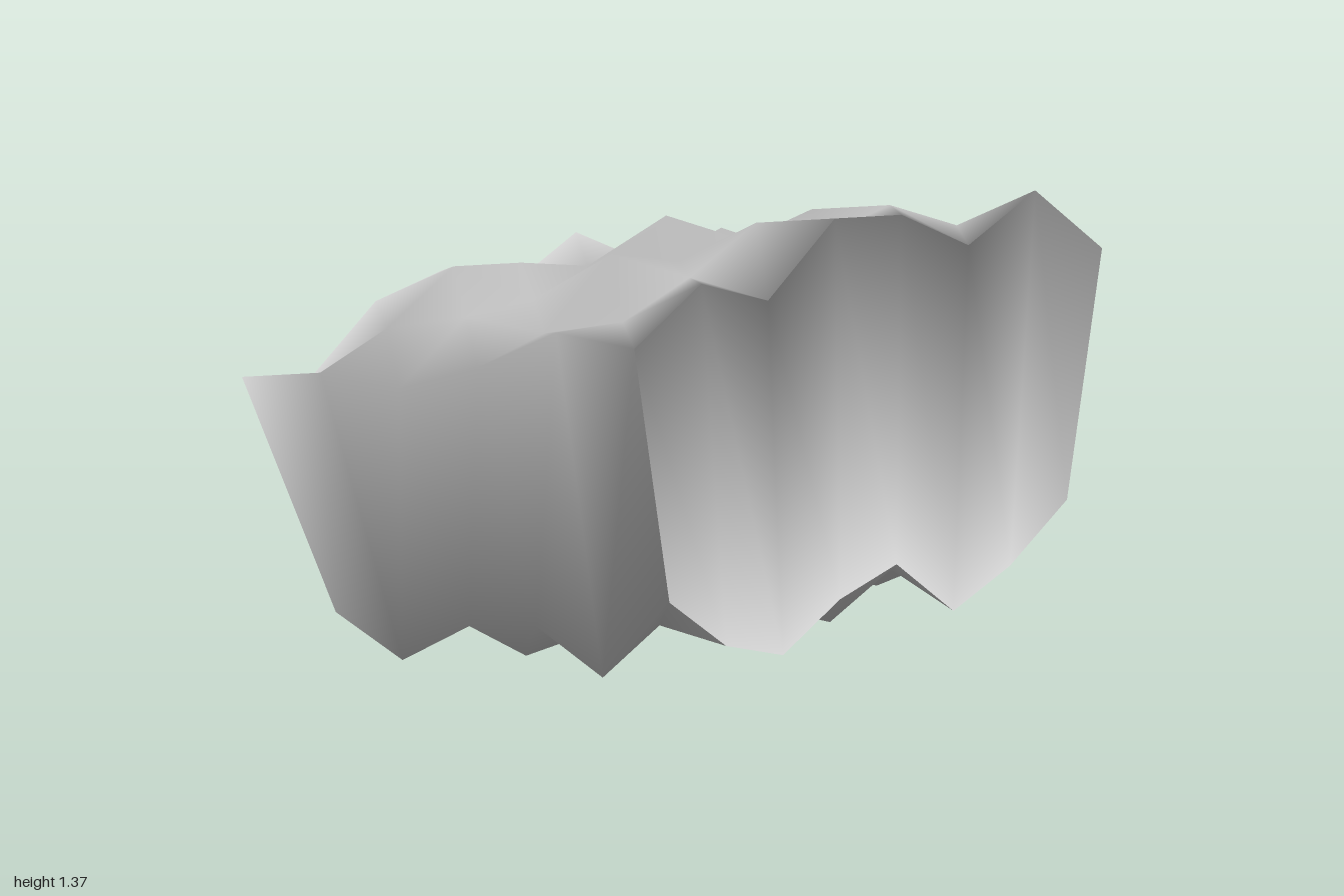
import * as THREE from 'three';

// Heights of the slab: rows run from front to back, columns from x- to x+
const TOP = [
  [1.14, 1.28, 1.18, 1.37, 1.33, 1.19, 1.30, 1.08],
  [1.14, 1.12, 1.20, 1.31, 1.22, 1.26, 1.15, 1.00],
  [0.99, 1.04, 1.22, 1.15, 1.16, 1.20, 1.03, 1.02],
  [0.88, 1.04, 1.04, 1.03, 1.185, 0.98, 0.97, 0.95],
  [0.88, 0.96, 1.09, 1.05, 0.99, 0.94, 1.00, 0.75],
  [0.82, 0.76, 0.94, 0.98, 0.88, 0.99, 0.80, 0.69],
];
const BOTTOM = [
  [0.37, 0.20, 0.13, 0.25, 0.31, 0.13, 0.22, 0.37],
  [0.11, 0.22, 0.18, 0.18, 0.10, 0.22, 0.20, 0.13],
  [0.22, 0.16, 0.17, 0.22, 0.25, 0.16, 0.08, 0.23],
  [0.18, 0.05, 0.20, 0.22, 0.20, 0.25, 0.22, 0.21],
  [0.04, 0.18, 0.16, 0.03, 0.22, 0.24, 0.14, 0.04],
  [0.14, 0.09, 0.00, 0.18, 0.19, 0.00, 0.11, 0.25],
];
const NX = 7, NZ = 5;

// Smooth normals in which every face counts the same, whatever its size
function evenNormals(positions, index) {
  const corner = (n) => new THREE.Vector3().fromArray(positions, n * 3);
  const normals = Array.from({ length: positions.length / 3 }, () => new THREE.Vector3());
  const face = new THREE.Triangle(), normal = new THREE.Vector3();
  for (let f = 0; f < index.length; f += 3) {
    const ids = index.slice(f, f + 3);
    face.set(...ids.map(corner)).getNormal(normal);
    ids.forEach((n) => normals[n].add(normal));
  }
  return normals.flatMap((n) => n.normalize().toArray());
}

export function createModel() {
  const positions = [], index = [];

  // Two height grids; the lower one is narrower and flush with the front
  for (const [heights, scale] of [[TOP, 1], [BOTTOM, 0.85]]) {
    heights.forEach((row, k) => row.forEach((y, i) => {
      positions.push((i / NX * 2 - 1) * scale, y, 0.75 - 1.5 * scale * k / NZ);
    }));
  }
  const top = (i, k) => k * (NX + 1) + i;
  const bottom = (i, k) => top(i, k) + (NX + 1) * (NZ + 1);
  const quad = (a, b, c, d) => index.push(a, b, c, a, c, d);

  // Upper and lower surfaces
  for (let k = 0; k < NZ; k++) {
    for (let i = 0; i < NX; i++) {
      quad(top(i, k), top(i + 1, k), top(i + 1, k + 1), top(i, k + 1));
      quad(bottom(i, k), bottom(i, k + 1), bottom(i + 1, k + 1), bottom(i + 1, k));
    }
  }
  // Front and back walls turn inward, which gives their edges a hollow shading
  for (let i = 0; i < NX; i++) {
    quad(top(i, 0), top(i + 1, 0), bottom(i + 1, 0), bottom(i, 0));
    quad(bottom(i, NZ), bottom(i + 1, NZ), top(i + 1, NZ), top(i, NZ));
  }
  // Side walls
  for (let k = 0; k < NZ; k++) {
    quad(bottom(NX, k), bottom(NX, k + 1), top(NX, k + 1), top(NX, k));
    quad(top(0, k), top(0, k + 1), bottom(0, k + 1), bottom(0, k));
  }

  const geometry = new THREE.BufferGeometry();
  geometry.setAttribute('position', new THREE.Float32BufferAttribute(positions, 3));
  geometry.setAttribute('normal', new THREE.Float32BufferAttribute(evenNormals(positions, index), 3));
  geometry.setIndex(index);

  const stone = new THREE.MeshStandardMaterial({ color: 0xcccccc, side: THREE.DoubleSide });
  stone.name = 'stone grey';
  const rock = new THREE.Mesh(geometry, stone);
  rock.name = 'rock';

  const group = new THREE.Group();
  group.name = 'rockSlab';
  group.add(rock);
  return group;
}
